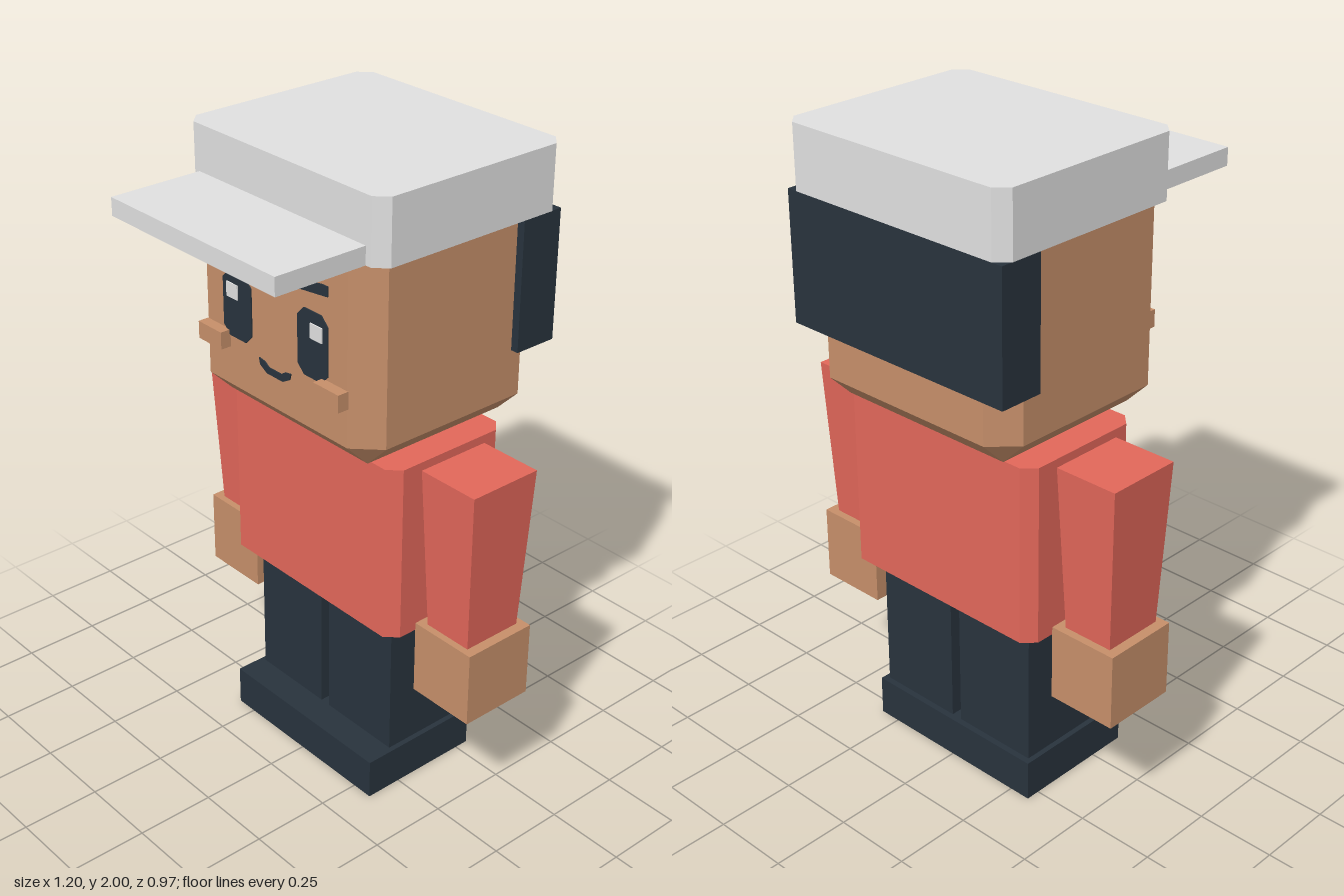
import * as THREE from 'three';
import { ConvexGeometry } from 'three/addons/geometries/ConvexGeometry.js';

const mat = (name, color) => {
  const m = new THREE.MeshStandardMaterial({ color });
  m.name = name;
  return m;
};

export function createModel() {
  const skin = mat('skin', 0xc68f6a);
  const red = mat('red shirt', 0xe2675a);
  const dark = mat('dark navy', 0x28333d);
  const pale = mat('pale grey', 0xe0e0e0);

  const model = new THREE.Group();
  model.name = 'blockyFigure';

  const add = (name, geometry, material) => {
    const mesh = new THREE.Mesh(geometry, material);
    mesh.name = name;
    model.add(mesh);
    return mesh;
  };

  // Box given by its limits
  const box = (name, material, x0, x1, y0, y1, z0, z1) => {
    const g = new THREE.BoxGeometry(x1 - x0, y1 - y0, z1 - z0);
    g.translate((x0 + x1) / 2, (y0 + y1) / 2, (z0 + z1) / 2);
    return add(name, g, material);
  };

  // Level rectangle with corners cut by c (c = 0 keeps them square)
  const ring = (y, x0, x1, z0, z1, c = 0) => {
    const points = [];
    for (const [x, sx] of [[x0, 1], [x1, -1]]) {
      for (const [z, sz] of [[z0, 1], [z1, -1]]) {
        points.push(new THREE.Vector3(x + sx * c, y, z));
        if (c > 0) points.push(new THREE.Vector3(x, y, z + sz * c));
      }
    }
    return points;
  };
  const solid = (name, material, ...rings) => add(name, new ConvexGeometry(rings.flat()), material);

  // Thin plate on the face
  const FACE = 0.205;
  const plate = (name, material, points, lift = 0.004) => {
    const shape = new THREE.Shape(points.map(([x, y]) => new THREE.Vector2(x, y)));
    const g = new THREE.ExtrudeGeometry(shape, { depth: lift, bevelEnabled: false });
    g.translate(0, 0, FACE);
    return add(name, g, material);
  };

  // Head with cut upright edges and a bevelled chin
  solid('head', skin,
    ring(1.805, -0.38, 0.38, -0.455, FACE, 0.075),
    ring(1.255, -0.38, 0.38, -0.455, FACE, 0.075),
    ring(1.18, -0.305, 0.305, -0.38, 0.13));
  box('hair', dark, -0.405, 0.405, 1.405, 1.805, -0.485, -0.343);

  // Cap and brim
  solid('cap', pale,
    ring(1.805, -0.407, 0.407, -0.485, 0.185, 0.037),
    ring(2, -0.407, 0.407, -0.485, 0.185, 0.037));
  box('capBrim', pale, -0.35, 0.35, 1.805, 1.86, 0.18, 0.485);

  // Torso
  solid('torso', red,
    ring(0.593, -0.37, 0.37, -0.345, 0.09, 0.037),
    ring(1.157, -0.37, 0.37, -0.345, 0.09, 0.037));

  // Shoe block
  box('shoes', dark, -0.32, 0.32, 0, 0.13, -0.295, 0.12);

  // Mirrored parts
  for (const [side, s] of [['left', 1], ['right', -1]]) {
    const span = (a, b) => (s > 0 ? [a, b] : [-b, -a]);
    const flip = (points) => points.map(([x, y]) => [s * x, y]);

    box(side + 'Leg', dark, ...span(0.018, 0.303), 0.13, 0.593, -0.275, 0.025);
    solid(side + 'Arm', red,
      ring(1.14, ...span(0.382, 0.59), -0.25, -0.005),
      ring(0.62, ...span(0.402, 0.568), -0.227, -0.027));
    box(side + 'Hand', skin, ...span(0.373, 0.6), 0.38, 0.62, -0.252, -0.005);
    box(side + 'Cheek', skin, ...span(0.203, 0.307), 1.376, 1.43, 0.2, 0.24);

    plate(side + 'Eye', dark, flip([
      [0.128, 1.415], [0.2, 1.415], [0.227, 1.442], [0.227, 1.59],
      [0.2, 1.617], [0.128, 1.617], [0.101, 1.59], [0.101, 1.442]]));
    plate(side + 'EyeGlint', pale, flip([
      [0.158, 1.537], [0.207, 1.537], [0.207, 1.582], [0.158, 1.582]]), 0.008);
    plate(side + 'Eyebrow', dark, flip([
      [0.107, 1.665], [0.227, 1.68], [0.227, 1.71], [0.205, 1.71], [0.107, 1.692]]));
  }

  // Smile
  plate('mouth', dark, [
    [-0.07, 1.392], [-0.065, 1.372], [-0.035, 1.355], [0.035, 1.355], [0.065, 1.372],
    [0.07, 1.392], [0.045, 1.388], [0.027, 1.376], [-0.027, 1.376], [-0.045, 1.388]]);

  return model;
}
